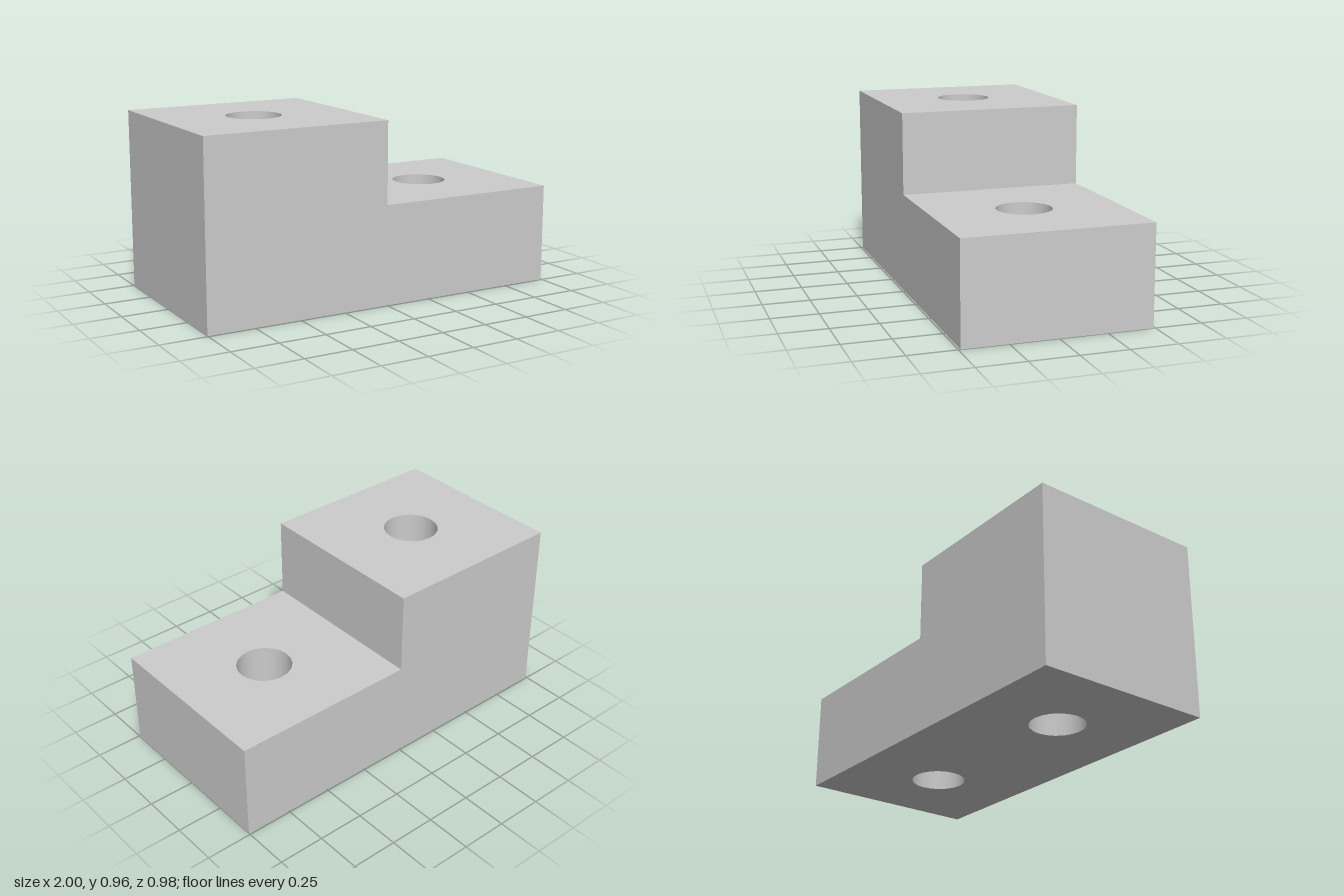
import * as THREE from 'three';
import { mergeGeometries } from 'three/addons/utils/BufferGeometryUtils.js';

const HIGH = 0.96, LOW = 0.527, HALF_DEPTH = 0.49;
const HOLE_R = 0.145, HOLE_X = 0.506, SIDES = 20;

export function createModel() {
  const group = new THREE.Group();
  const grey = new THREE.MeshStandardMaterial({ color: 0xcccccc });
  grey.name = 'plain grey';

  // Horizontal face from x0 to x1 at height y, pierced by the given holes
  const deck = (x0, x1, y, holes, facesUp = true) => {
    const s = new THREE.Shape([[x0, -HALF_DEPTH], [x1, -HALF_DEPTH], [x1, HALF_DEPTH], [x0, HALF_DEPTH]]
      .map(([x, z]) => new THREE.Vector2(x, z)));
    for (const hx of holes) {
      const ring = Array.from({ length: SIDES }, (_, i) => {
        const a = -i / SIDES * Math.PI * 2;
        return new THREE.Vector2(hx + HOLE_R * Math.cos(a), HOLE_R * Math.sin(a));
      });
      s.holes.push(new THREE.Path(ring));
    }
    return new THREE.ShapeGeometry(s).rotateX(facesUp ? -Math.PI / 2 : Math.PI / 2).translate(0, y, 0);
  };

  // Upright end face at x, from y0 to y1, facing dir along x
  const end = (x, y0, y1, dir) => new THREE.PlaneGeometry(2 * HALF_DEPTH, y1 - y0)
    .rotateY(dir * Math.PI / 2).translate(x, (y0 + y1) / 2, 0);

  // Stepped side profile
  const profile = (mirror) => {
    const pts = [[-1, 0], [1, 0], [1, LOW], [0, LOW], [0, HIGH], [-1, HIGH]];
    const g = new THREE.ShapeGeometry(new THREE.Shape(pts.map(([x, y]) => new THREE.Vector2(mirror * x, y))));
    if (mirror < 0) g.rotateY(Math.PI);
    return g.translate(0, 0, mirror * HALF_DEPTH);
  };

  // Stepped block
  const block = new THREE.Mesh(mergeGeometries([
    profile(1), profile(-1),
    deck(-1, 0, HIGH, [-HOLE_X]),
    deck(0, 1, LOW, [HOLE_X]),
    deck(-1, 1, 0, [-HOLE_X, HOLE_X], false),
    end(-1, 0, HIGH, -1), end(0, LOW, HIGH, 1), end(1, 0, LOW, 1),
  ]), grey);
  block.name = 'steppedBlock';
  group.add(block);

  // Bores through each step, walls facing inward
  for (const [name, x, top] of [['highStepBore', -HOLE_X, HIGH], ['lowStepBore', HOLE_X, LOW]]) {
    const wall = [new THREE.Vector2(HOLE_R, top), new THREE.Vector2(HOLE_R, 0)];
    const bore = new THREE.Mesh(new THREE.LatheGeometry(wall, SIDES), grey);
    bore.position.x = x;
    bore.name = name;
    group.add(bore);
  }
  return group;
}
